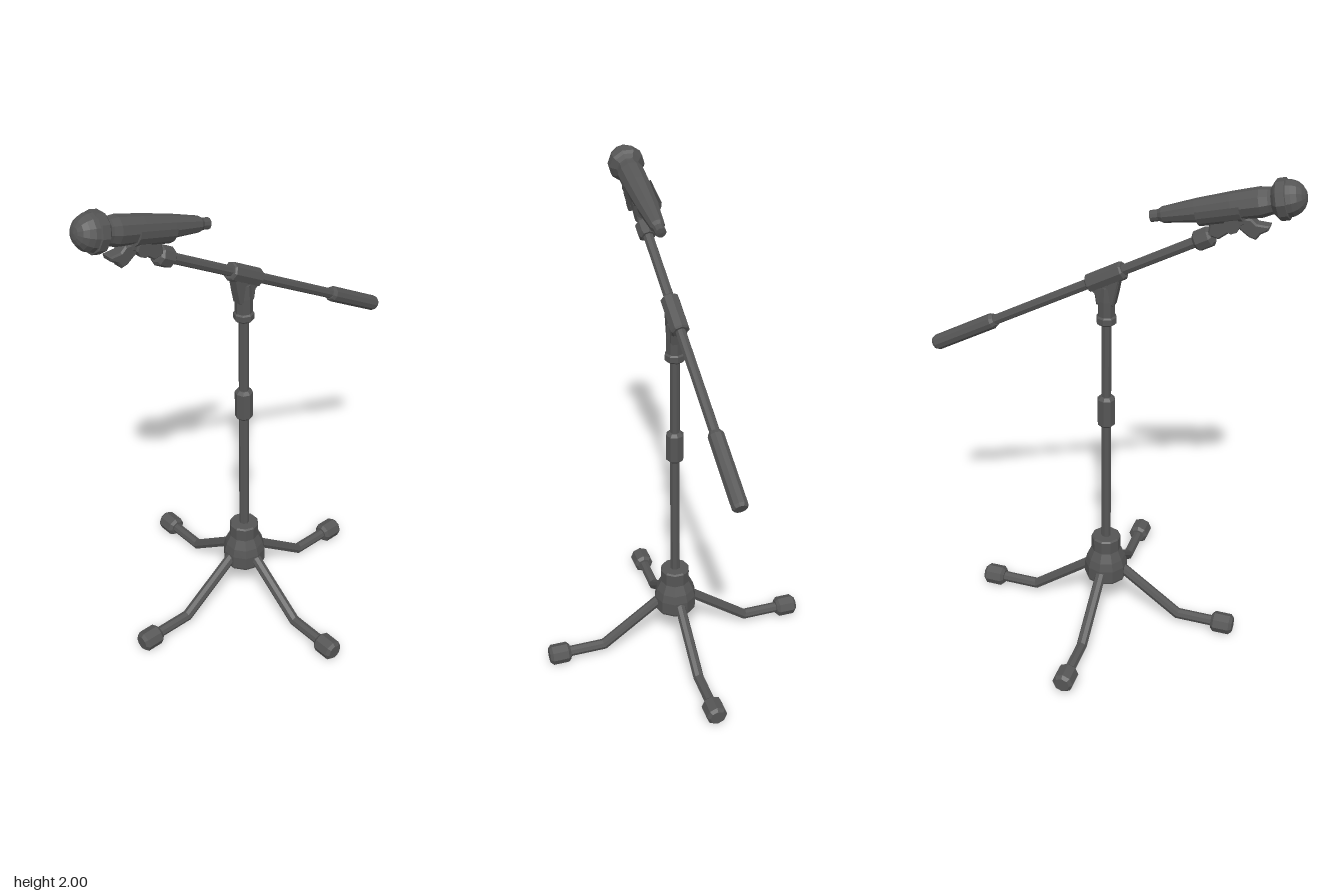
import * as THREE from 'three';

const material = new THREE.MeshStandardMaterial({ color: 0x555555, flatShading: true });
const thin = new THREE.MeshStandardMaterial({ color: 0x555555, flatShading: true, side: THREE.DoubleSide });
const UP = new THREE.Vector3(0, 1, 0);
const CX = -0.015; // x of the upright

function add(parent, name, geometry, mat = material) {
  const mesh = new THREE.Mesh(geometry, mat);
  mesh.name = name;
  parent.add(mesh);
  return mesh;
}

// Turned part: profile of [radius, distance along axis], placed at origin along dir
function turned(parent, name, profile, origin, dir = UP, sides = 8) {
  const pts = profile.map(([r, s]) => new THREE.Vector2(r, s));
  const mesh = add(parent, name, new THREE.LatheGeometry(pts, sides));
  mesh.position.copy(origin);
  mesh.quaternion.setFromUnitVectors(UP, dir);
  return mesh;
}

// Closed cylinder profile with small bevels
function barrel(r, a, b, bevel = 0.008) {
  return [[0, a], [r - bevel, a], [r, a + bevel], [r, b - bevel], [r - bevel, b], [0, b]];
}

// Flat piece cut in the xy plane, centred on z = 0
function plate(parent, name, points, depth) {
  const shape = new THREE.Shape(points.map(([x, y]) => new THREE.Vector2(x, y)));
  const geo = new THREE.ExtrudeGeometry(shape, {
    depth: depth - 0.012, bevelEnabled: true, bevelSize: 0.006, bevelThickness: 0.006, bevelSegments: 1, bevelOffset: -0.006,
  });
  geo.translate(0, 0, -(depth - 0.012) / 2);
  return add(parent, name, geo);
}

// Bent leg tube: the three rings of a cylinder are moved onto a mitred path
function legGeometry(r) {
  const path = [[0.05, 0.245], [0.32, 0.045], [0.5, 0.045]];
  const across = [[-0.595, -0.804], [-0.33, -1], [0, -1]];
  const geo = new THREE.CylinderGeometry(r, r, 1, 8, 2);
  const p = geo.attributes.position;
  for (let i = 0; i < p.count; i++) {
    const k = Math.round((p.getY(i) + 0.5) * 2);
    const x = p.getX(i);
    p.setXY(i, path[k][0] + across[k][0] * x, path[k][1] + across[k][1] * x);
  }
  geo.computeVertexNormals();
  return geo;
}

export function createModel() {
  const model = new THREE.Group();
  model.name = 'microphoneStand';
  const base = new THREE.Vector3(CX, 0, 0);

  // Upright: hub, pole, height clutch and collar
  turned(model, 'hub', [
    [0, 0.185], [0.085, 0.185], [0.089, 0.195], [0.089, 0.25], [0.08, 0.285],
    [0.061, 0.325], [0.061, 0.38], [0.055, 0.386], [0, 0.386],
  ], base, UP, 10);
  turned(model, 'pole', barrel(0.02, 0.3, 1.5, 0.002), base);
  turned(model, 'heightClutch', barrel(0.036, 0.92, 1.055, 0.012), base);
  turned(model, 'collar', barrel(0.04, 1.367, 1.405), base);

  // Four legs with rubber feet
  for (let i = 0; i < 4; i++) {
    const leg = new THREE.Group();
    leg.name = 'leg' + (i + 1);
    leg.position.x = CX;
    leg.rotation.y = i * Math.PI / 2;
    add(leg, 'legTube', legGeometry(0.022));
    turned(leg, 'foot', barrel(0.043, 0.47, 0.56, 0.012),
      new THREE.Vector3(0, 0.045, 0), new THREE.Vector3(1, 0, 0));
    model.add(leg);
  }

  // Boom, its pivot and the counterweight grip
  const boomStart = new THREE.Vector3(-0.40, 1.767, 0);
  const boomEnd = new THREE.Vector3(0.702, 1.171, 0);
  const boomDir = boomEnd.clone().sub(boomStart).normalize();
  const length = boomStart.distanceTo(boomEnd);
  turned(model, 'boom', barrel(0.02, 0, length - 0.02, 0.002), boomStart, boomDir);
  turned(model, 'grip', [
    [0, length - 0.30], [0.024, length - 0.30], [0.031, length - 0.285],
    [0.031, length - 0.008], [0.025, length + 0.004], [0, length + 0.004],
  ], boomStart, boomDir, 10);
  const pivot = new THREE.Vector3(CX, 1.558, 0);
  turned(model, 'boomSleeve', barrel(0.036, -0.076, 0.08, 0.006), pivot, boomDir);
  turned(model, 'pivotNeck', [[0, 1.40], [0.034, 1.40], [0.034, 1.465], [0.03, 1.52], [0, 1.53]], base);
  plate(model, 'pivotBracket', [
    [CX - 0.034, 1.45], [CX + 0.034, 1.45], [CX + 0.04, 1.49], [CX + 0.065, 1.515], [CX - 0.06, 1.58], [CX - 0.045, 1.50],
  ], 0.05);

  // Microphone clip: threaded knob, bracket, wing nut and cradle
  turned(model, 'clipKnob', barrel(0.038, -0.005, 0.065, 0.01), boomStart, boomDir);
  plate(model, 'clipBracket', [
    [-0.52, 1.88], [-0.52, 1.83], [-0.475, 1.80], [-0.43, 1.765], [-0.39, 1.775], [-0.395, 1.81], [-0.36, 1.845],
  ], 0.055);
  plate(model, 'wingNut', [
    [-0.605, 1.832], [-0.60, 1.815], [-0.575, 1.80], [-0.56, 1.778], [-0.535, 1.785],
    [-0.50, 1.81], [-0.49, 1.85], [-0.54, 1.852], [-0.56, 1.835],
  ], 0.05);
  const hinge = add(model, 'clipHinge', new THREE.CylinderGeometry(0.03, 0.03, 0.08, 8));
  hinge.rotation.x = Math.PI / 2;
  hinge.position.set(-0.475, 1.825, 0);

  // Microphone: head, ring and tapering body
  const head = new THREE.Vector3(-0.664, 1.933, 0);
  const micDir = new THREE.Vector3(0.489, -0.122, 0).normalize();
  const ball = [];
  for (let i = 0; i <= 5; i++) {
    const a = i / 5 * Math.PI / 2;
    ball.push([0.066 * Math.sin(a), 0.01 - 0.067 * Math.cos(a)]);
  }
  turned(model, 'microphoneHead', ball, head, micDir, 12);
  turned(model, 'headRing', [
    [0.06, 0.004], [0.072, 0.008], [0.072, 0.038], [0.062, 0.048], [0.045, 0.06],
  ], head, micDir, 10);
  turned(model, 'microphoneBody', [
    [0.046, 0.04], [0.047, 0.07], [0.053, 0.1], [0.05, 0.2], [0.042, 0.33],
    [0.029, 0.455], [0.021, 0.47], [0.021, 0.5], [0, 0.503],
  ], head, micDir, 10);
  const cradleProfile = [[0.044, 0.17], [0.058, 0.17], [0.056, 0.325], [0.041, 0.325], [0.044, 0.17]]
    .map(([r, s]) => new THREE.Vector2(r, s));
  const cradle = add(model, 'clipCradle',
    new THREE.LatheGeometry(cradleProfile, 8, -0.17, Math.PI + 0.34), thin);
  cradle.position.copy(head);
  cradle.quaternion.setFromUnitVectors(UP, micDir);

  return model;
}
